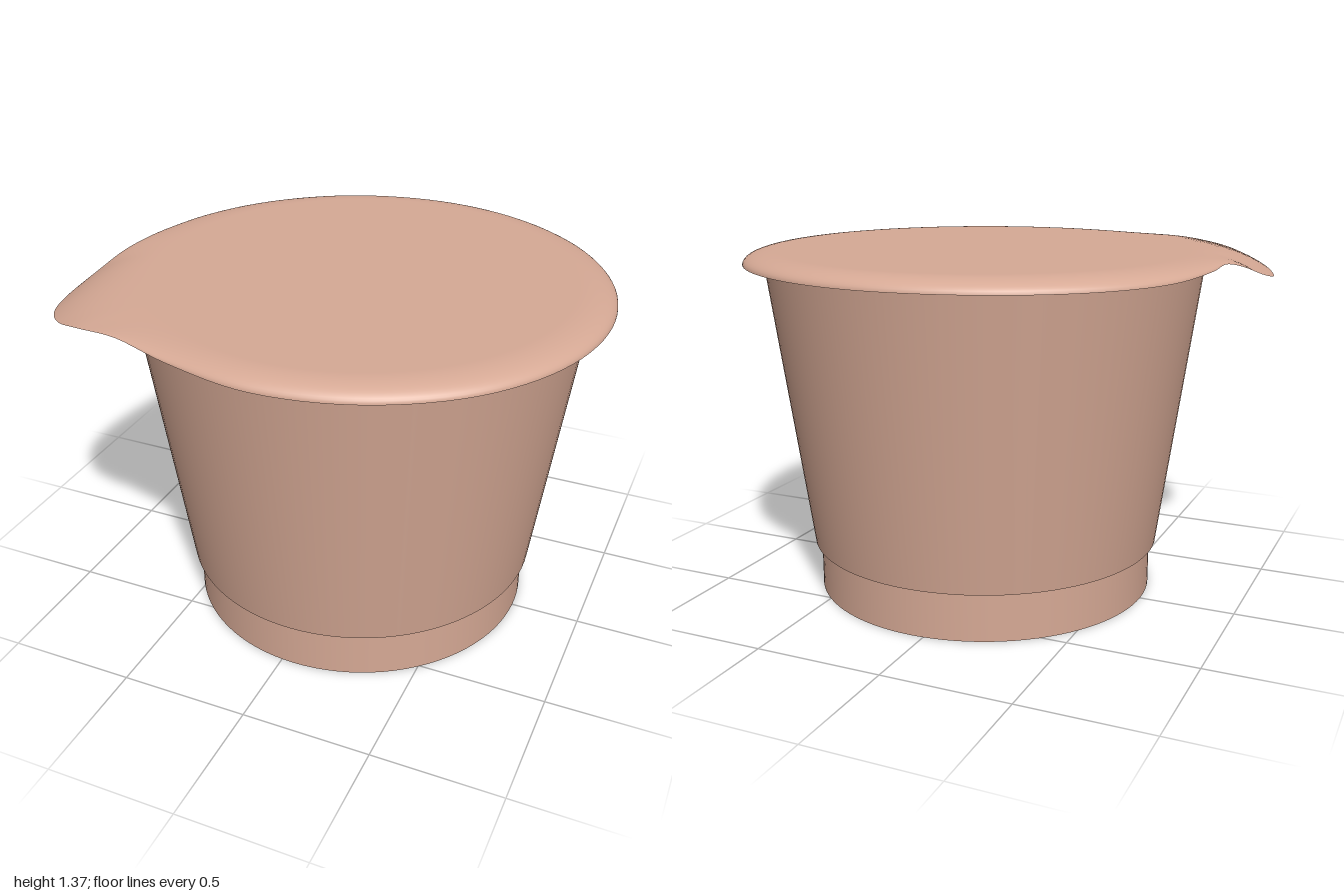
import * as THREE from 'three';

const CX = 0.053;      // cup axis
const TOP = 1.365;     // lid height
const FLAT = 0.8;      // radius of the flat part of the lid

// Lid edge as [x, y, z], starting at the left and running past the front, the pull tab and the back
const EDGE = [
  [0.995, 1.315, 0], [0.925, 1.315, 0.35], [0.72, 1.315, 0.65], [0.4, 1.315, 0.85], [0.04, 1.316, 0.917],
  [-0.28, 1.33, 0.87], [-0.52, 1.348, 0.805], [-0.7, 1.33, 0.762], [-0.83, 1.298, 0.695],
  [-0.94, 1.268, 0.57], [-0.995, 1.255, 0.42], [-0.985, 1.28, 0.26], [-0.94, 1.325, 0.11],
  [-0.905, 1.345, 0], [-0.892, 1.335, -0.14], [-0.82, 1.32, -0.39], [-0.65, 1.315, -0.63],
  [-0.35, 1.315, -0.835], [0.04, 1.315, -0.92], [0.4, 1.315, -0.855], [0.72, 1.315, -0.65], [0.925, 1.315, -0.35],
];

// Lid: rings from the centre out to the edge curve, bending down past the flat part
function lidGeometry() {
  const N = 144;
  const curve = new THREE.CatmullRomCurve3(EDGE.map((p) => new THREE.Vector3(...p)), true);
  const edge = Array.from({ length: N }, (_, i) => curve.getPoint(i / N));
  const bends = 12;
  const pos = [], index = [];
  const addRing = (fn) => edge.forEach((p) => pos.push(...fn(p)));
  const inner = (p, r) => {
    const dx = p.x - CX, len = Math.hypot(dx, p.z);
    return [CX + (dx / len) * r, p.z / len * r];
  };
  for (const r of [0, FLAT / 2, FLAT]) {
    addRing((p) => {
      const [x, z] = inner(p, r);
      return [x, TOP, z];
    });
  }
  for (let k = 1; k <= bends; k++) {
    const s = Math.sin((k / bends) * Math.PI / 2);
    addRing((p) => {
      const [x, z] = inner(p, FLAT);
      // round rim, easing into a gentler curve on the tab
      const tab = THREE.MathUtils.smoothstep(Math.hypot(p.x - CX, p.z), 0.96, 1.06);
      const f = THREE.MathUtils.lerp(1 - Math.sqrt(Math.max(0, 1 - s * s)), s ** 2.3, tab);
      return [x + (p.x - x) * s, TOP - (TOP - p.y) * f, z + (p.z - z) * s];
    });
  }
  for (let k = 0; k < bends + 2; k++) {
    for (let i = 0; i < N; i++) {
      const j = (i + 1) % N;
      const a = k * N + i, b = k * N + j, c = a + N, d = b + N;
      if (k > 0) index.push(a, b, d);
      index.push(a, d, c);
    }
  }
  const g = new THREE.BufferGeometry();
  g.setAttribute('position', new THREE.Float32BufferAttribute(pos, 3));
  g.setIndex(index);
  g.computeVertexNormals();
  return g;
}

export function createModel() {
  const model = new THREE.Group();
  const clay = new THREE.MeshStandardMaterial({ color: 0xd6a995, side: THREE.DoubleSide });
  clay.name = 'warm beige';

  // Straight-sided lathe pieces keep the edges between them sharp
  const turned = (name, profile) => {
    const part = new THREE.Group();
    part.name = name;
    for (let i = 0; i + 1 < profile.length; i++) {
      const pts = [profile[i], profile[i + 1]].map(([r, y]) => new THREE.Vector2(r, y));
      const mesh = new THREE.Mesh(new THREE.LatheGeometry(pts, 96), clay);
      mesh.name = `${name}Surface${i + 1}`;
      part.add(mesh);
    }
    part.position.x = CX;
    model.add(part);
  };

  // Foot ring with a recessed underside
  turned('foot', [[0, 0.18], [0.65, 0.18], [0.65, 0], [0.675, 0], [0.675, 0.193]]);
  // Tapered cup wall with a small step above the foot
  turned('cup', [[0.675, 0.193], [0.7, 0.193], [0.86, 1.355]]);

  const lid = new THREE.Mesh(lidGeometry(), clay);
  lid.name = 'lid';
  model.add(lid);

  return model;
}
